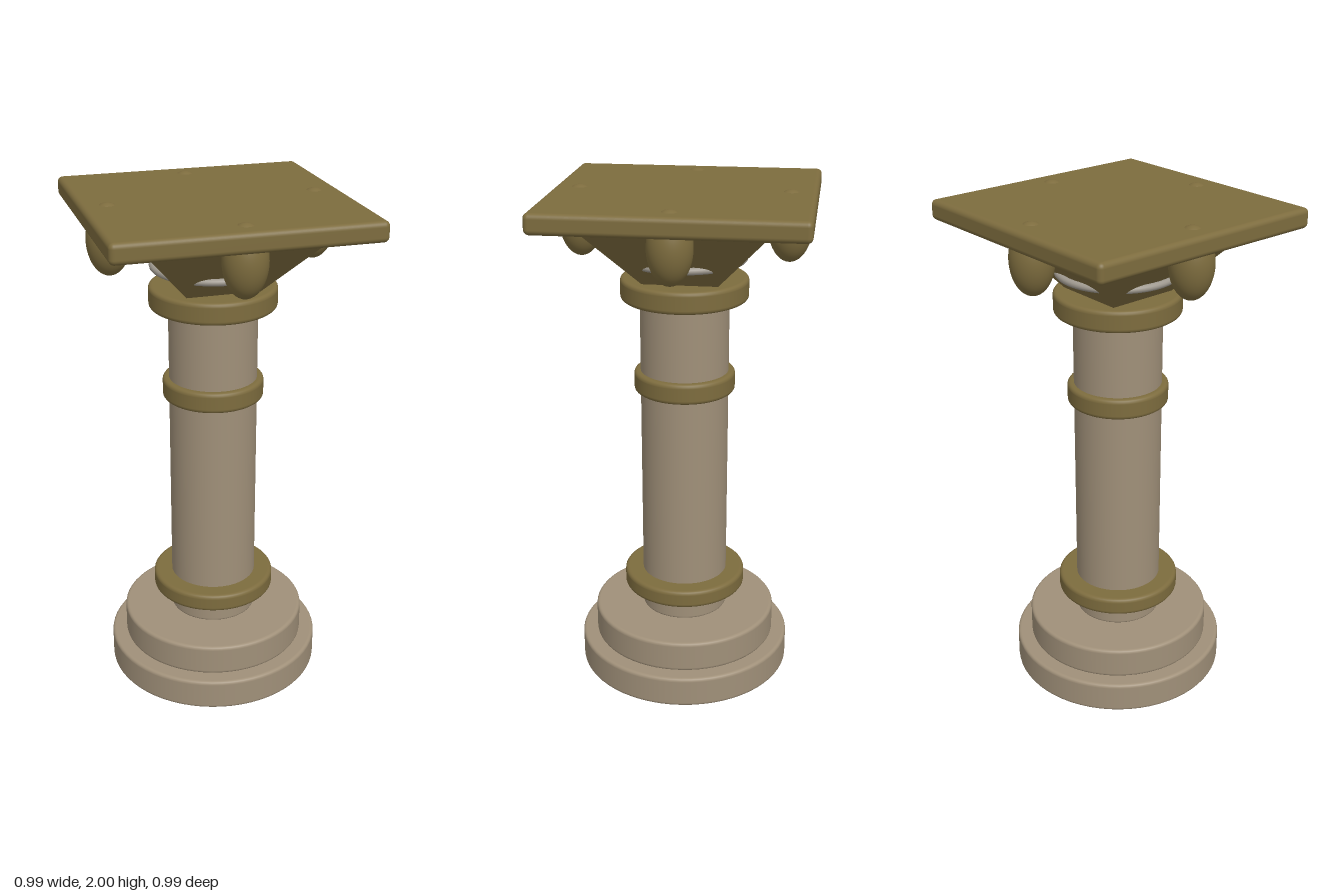
import * as THREE from 'three';
import { RoundedBoxGeometry } from 'three/addons/geometries/RoundedBoxGeometry.js';

const mat = (name, color) => {
  const m = new THREE.MeshStandardMaterial({ color });
  m.name = name;
  return m;
};

// Solid disc from y0 to y1 with softly rounded rims
function roundedDisc(radius, y0, y1, bevel) {
  const pts = [new THREE.Vector2(0, y0), new THREE.Vector2(radius - bevel - 0.002, y0)];
  const arc = (cy, start) => {
    for (let i = 0; i <= 4; i++) {
      const a = start + (i / 4) * Math.PI / 2;
      pts.push(new THREE.Vector2(radius - bevel + Math.cos(a) * bevel, cy + Math.sin(a) * bevel));
    }
  };
  arc(y0 + bevel, -Math.PI / 2);
  pts.push(new THREE.Vector2(radius, y0 + bevel + 0.002), new THREE.Vector2(radius, y1 - bevel - 0.002));
  arc(y1 - bevel, 0);
  pts.push(new THREE.Vector2(radius - bevel - 0.002, y1), new THREE.Vector2(0, y1));
  return new THREE.LatheGeometry(pts, 64);
}

export function createModel() {
  const stone = mat('stone', 0xa09079);
  const bronze = mat('bronze', 0x7d6c3e);
  const paleStone = mat('paleStone', 0xa09a90);

  const model = new THREE.Group();
  model.name = 'column';
  const add = (name, geometry, material, x = 0, y = 0, z = 0) => {
    const mesh = new THREE.Mesh(geometry, material);
    mesh.name = name;
    mesh.position.set(x, y, z);
    model.add(mesh);
    return mesh;
  };

  // Stepped round base and shaft
  add('lowerBase', roundedDisc(0.432, 0, 0.126, 0.012), stone);
  add('upperBase', roundedDisc(0.372, 0.126, 0.252, 0.012), stone);
  add('shaft', roundedDisc(0.173, 0.25, 1.66, 0.008), stone);

  // Bands around the shaft
  add('lowerBand', roundedDisc(0.247, 0.343, 0.415, 0.014), bronze);
  add('middleBand', roundedDisc(0.198, 1.205, 1.287, 0.014), bronze);
  add('upperBand', roundedDisc(0.247, 1.577, 1.662, 0.014), bronze);

  // Square flaring capital
  const flare = new THREE.CylinderGeometry(0.345 * Math.SQRT2, 0.135 * Math.SQRT2, 0.25, 4).toNonIndexed();
  flare.rotateY(Math.PI / 4);
  flare.computeVertexNormals();
  add('capital', flare, bronze, 0, 1.777, 0);

  // Thin ring that breaks through the four capital faces
  const ring = new THREE.TorusGeometry(0.228, 0.014, 12, 64);
  ring.rotateX(Math.PI / 2);
  add('capitalRing', ring, paleStone, 0, 1.738, 0);

  // Top slab
  add('slab', new RoundedBoxGeometry(0.988, 0.077, 0.988, 4, 0.02), bronze, 0, 1.953, 0);

  // Hanging bulbs, one on each side, whose tips pass through the slab
  const bulb = new THREE.SphereGeometry(1, 40, 28);
  bulb.scale(0.083, 0.135, 0.083);
  for (let i = 0; i < 4; i++) {
    const a = (i * Math.PI) / 2;
    add('bulb', bulb, bronze, Math.sin(a) * 0.396, 1.865, Math.cos(a) * 0.396);
  }

  return model;
}
